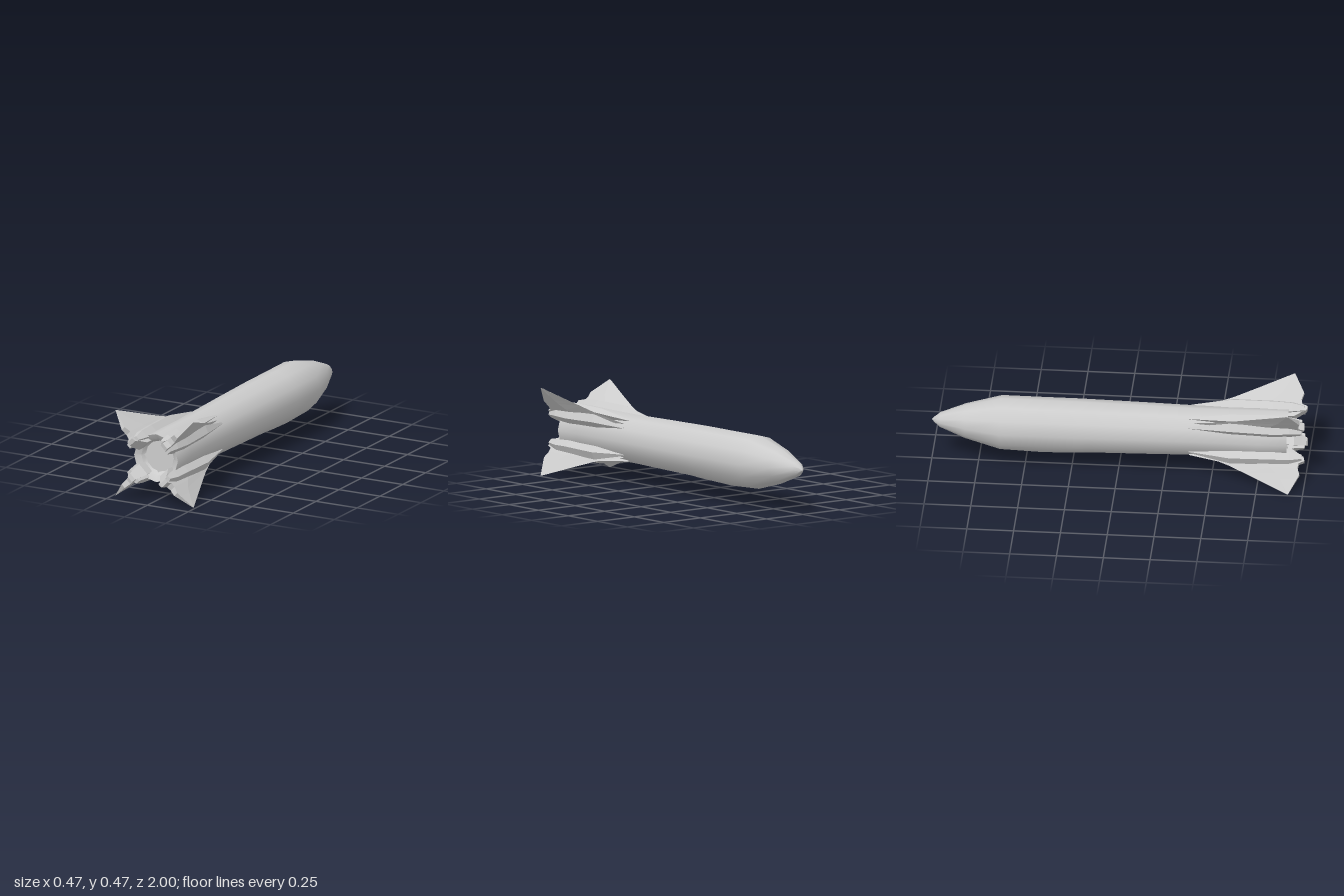
import * as THREE from 'three';
import { toCreasedNormals } from 'three/addons/utils/BufferGeometryUtils.js';

const CY = 0.2375; // height of the rocket's long axis

// Skin a list of equal-sized rings and close both ends with fans.
function loft(rings) {
  const n = rings[0].length;
  const idx = [];
  for (let i = 0; i < rings.length - 1; i++) {
    for (let j = 0; j < n; j++) {
      const a = i * n + j, b = i * n + ((j + 1) % n);
      idx.push(a, b, b + n, a, b + n, a + n);
    }
  }
  const last = (rings.length - 1) * n;
  for (let j = 1; j < n - 1; j++) {
    idx.push(0, j + 1, j, last, last + j, last + j + 1);
  }
  const geo = new THREE.BufferGeometry();
  geo.setAttribute('position', new THREE.Float32BufferAttribute(rings.flat(2), 3));
  geo.setIndex(idx);
  const flat = geo.toNonIndexed();
  flat.computeVertexNormals();
  return flat;
}

// Fuselage: a 12-sided turned hull with a recessed tail, nose towards -z.
function hullGeometry() {
  const profile = [
    [0.085, 0.86], [0.1, 0.885], [0.133, 0.905], [0.135, 0.75], [0.132, 0.58], [0.132, 0.4],
    [0.138, 0.1], [0.142, -0.15], [0.143, -0.22], [0.143, -0.4], [0.144, -0.63],
    [0.093, -0.82], [0.04, -0.955], [0.016, -0.985], [0, -1],
  ].map(([r, z]) => new THREE.Vector2(r, -z));
  const geo = new THREE.LatheGeometry(profile, 12).rotateX(-Math.PI / 2);
  // Shallow keel under the forward half
  const p = geo.attributes.position;
  for (let i = 0; i < p.count; i++) {
    const z = p.getZ(i);
    if (p.getY(i) < -0.1 && z < -0.18 && z > -0.6) {
      p.setY(i, p.getY(i) * (z < -0.3 ? 1.075 : 1.03));
    }
  }
  return toCreasedNormals(geo, 0.6);
}

// Blade: wedge sections stepping outwards along x: radius, leading z, trailing z, half width.
function bladeGeometry() {
  const sections = [
    [0.09, 0.4, 0.93, 0.035], [0.115, 0.4, 0.97, 0.03], [0.13, 0.4, 0.995, 0.022],
    [0.152, 0.48, 1.0, 0.02], [0.165, 0.53, 0.97, 0.019], [0.19, 0.6, 0.965, 0.017],
    [0.226, 0.68, 0.977, 0.013], [0.25, 0.733, 0.965, 0.01], [0.334, 0.915, 0.922, 0.001],
  ];
  return loft(sections.map(([r, lead, trail, w]) => {
    const mid = lead + (trail - lead) * 0.6;
    return [[r, 0, lead], [r, w, mid], [r, w, trail], [r, -w, trail], [r, -w, mid]];
  }));
}

// Strake: a leaf-shaped fairing beside the blade: z, radius range, offset range.
function strakeGeometry(side) {
  const sections = [
    [0.38, 0.12, 0.133, 0.022, 0.03], [0.6, 0.1, 0.178, 0.006, 0.048],
    [0.82, 0.1, 0.176, 0.014, 0.054], [0.92, 0.112, 0.17, 0.018, 0.048],
    [0.985, 0.122, 0.152, 0.024, 0.04],
  ];
  return loft(sections.map(([z, r0, r1, w0, w1]) => {
    const ring = [
      [r0, side * w0, z], [r1, side * w0, z],
      [r1 - (r1 - r0) * 0.2, side * w1, z], [r0, side * w1, z],
    ];
    return side > 0 ? ring : ring.reverse();
  }));
}

export function createModel() {
  const group = new THREE.Group();
  group.name = 'rocket';
  const smooth = new THREE.MeshStandardMaterial({ color: 0xcccccc });
  const faceted = new THREE.MeshStandardMaterial({ color: 0xcccccc, flatShading: true });

  const add = (parent, geo, mat, name) => {
    const mesh = new THREE.Mesh(geo, mat);
    mesh.name = name;
    parent.add(mesh);
    return mesh;
  };

  add(group, hullGeometry(), smooth, 'fuselage').position.y = CY;

  // Square plate closing the tail recess
  const plate = add(group, new THREE.CircleGeometry(0.088, 4), faceted, 'enginePlate');
  plate.position.set(0, CY, 0.875);
  const floor = add(group, new THREE.CircleGeometry(0.09, 12), faceted, 'recessFloor');
  floor.position.set(0, CY, 0.861);

  // Four diagonal tail fins
  const blade = bladeGeometry();
  const strakes = [strakeGeometry(1), strakeGeometry(-1)];
  for (let k = 0; k < 4; k++) {
    const fin = new THREE.Group();
    fin.name = 'tailFin' + (k + 1);
    add(fin, blade, faceted, 'finBlade');
    strakes.forEach((geo) => add(fin, geo, faceted, 'finStrake'));
    fin.position.y = CY;
    fin.rotation.z = Math.PI / 4 + (k * Math.PI) / 2;
    group.add(fin);
  }
  return group;
}
